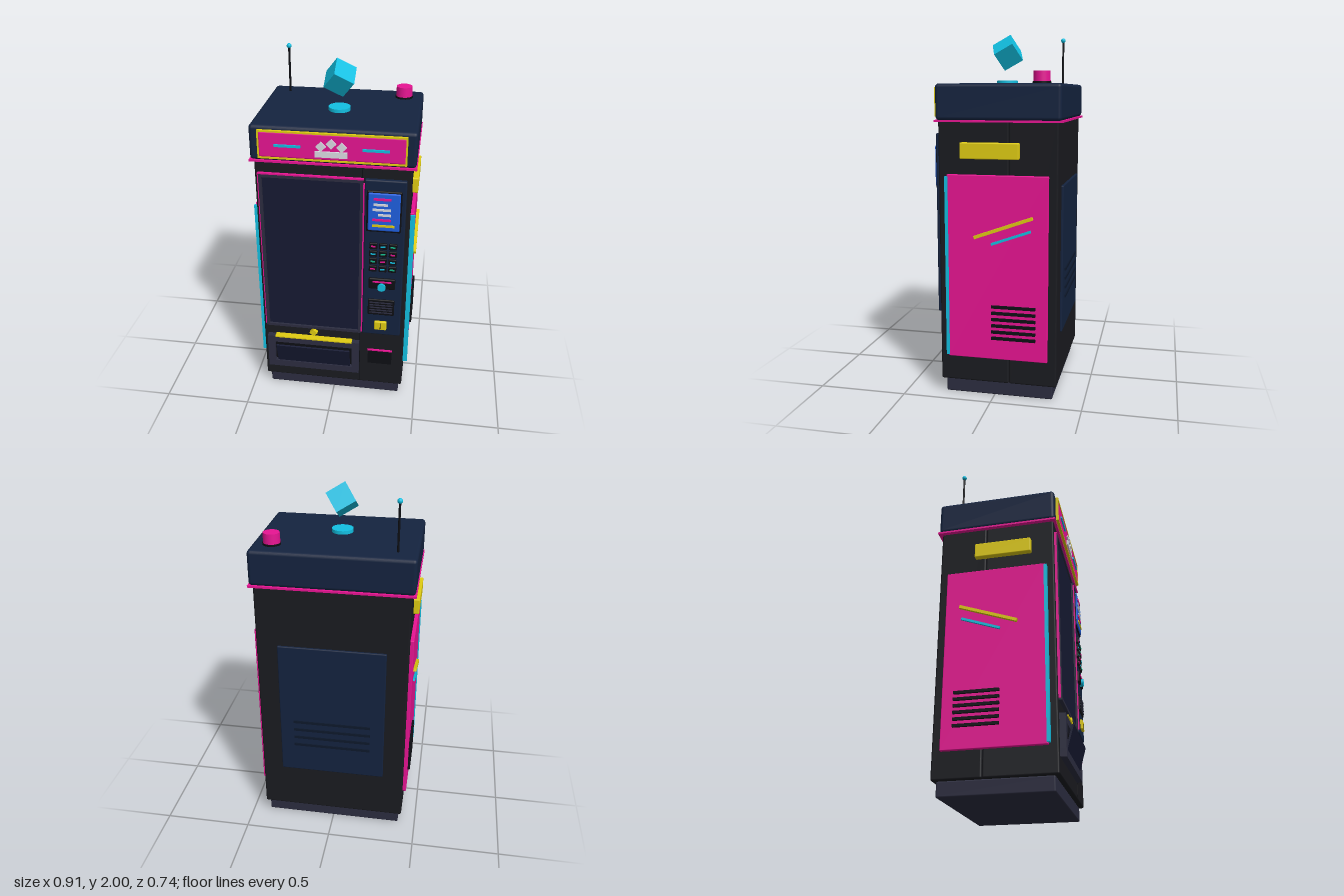
import * as THREE from 'three';
import { RoundedBoxGeometry } from 'three/addons/geometries/RoundedBoxGeometry.js';

const mat = (color) => new THREE.MeshStandardMaterial({ color });
const M = {
  black: mat(0x1a1b20), dark: mat(0x0d0e13), grey: mat(0x2c2d40), navy: mat(0x14233f), deep: mat(0x0d182b),
  glass: mat(0x161a33), pink: mat(0xe81493), cyan: mat(0x12c0e2), yellow: mat(0xe0cc12),
  blue: mat(0x1f5fe0), white: mat(0xdcdce4), green: mat(0x14b88a),
};

export function createModel() {
  const root = new THREE.Group();
  const add = (name, geo, m, x, y, z, parent = root) => {
    const mesh = new THREE.Mesh(geo, M[m]);
    mesh.name = name;
    mesh.position.set(x, y, z);
    parent.add(mesh);
    return mesh;
  };
  // box given by its limits, with optional rounded edges
  const box = (name, m, x0, x1, y0, y1, z0, z1, r = 0, parent = root) => {
    const w = x1 - x0, h = y1 - y0, d = z1 - z0;
    const geo = r ? new RoundedBoxGeometry(w, h, d, 2, r) : new THREE.BoxGeometry(w, h, d);
    return add(name, geo, m, (x0 + x1) / 2, (y0 + y1) / 2, (z0 + z1) / 2, parent);
  };
  // rectangular border made of four bars
  const frame = (name, m, x0, x1, y0, y1, z0, z1, t) => {
    box(name, m, x0, x1, y1 - t, y1, z0, z1);
    box(name, m, x0, x1, y0, y0 + t, z0, z1);
    box(name, m, x0, x0 + t, y0 + t, y1 - t, z0, z1);
    box(name, m, x1 - t, x1, y0 + t, y1 - t, z0, z1);
  };
  const diamond = (name, m, x, y, z, s, d) => {
    add(name, new THREE.BoxGeometry(s, s, d), m, x, y, z).rotation.z = Math.PI / 4;
  };

  // Cabinet
  box('base', 'grey', -0.398, 0.398, 0, 0.082, -0.325, 0.278, 0.008);
  box('cabinetFront', 'black', -0.418, 0.418, 0.08, 1.53, -0.085, 0.302, 0.01);
  box('cabinetBack', 'black', -0.418, 0.418, 0.08, 1.53, -0.35, -0.085, 0.01);
  box('doorSeam', 'dark', 0.158, 0.162, 0.09, 1.52, 0.29, 0.304);

  // Head with lit sign
  box('headTrim', 'pink', -0.441, 0.441, 1.52, 1.531, -0.371, 0.317);
  box('head', 'navy', -0.437, 0.437, 1.528, 1.722, -0.366, 0.313, 0.02);
  box('signPanel', 'pink', -0.383, 0.383, 1.555, 1.695, 0.3, 0.327, 0.008);
  frame('signBorder', 'yellow', -0.389, 0.389, 1.547, 1.702, 0.305, 0.329, 0.009);
  for (const s of [-1, 1]) box('signStripe', 'cyan', s * 0.23 - 0.07, s * 0.23 + 0.07, 1.617, 1.63, 0.32, 0.335);
  box('signOrnamentBar', 'white', -0.085, 0.083, 1.573, 1.605, 0.32, 0.336);
  for (const i of [-1, 0, 1]) diamond('signOrnamentDiamond', 'white', i * 0.054, i ? 1.631 : 1.648, 0.328, 0.038, 0.016);

  // Roof fittings
  const cyl = (r0, r1, h, n = 24) => new THREE.CylinderGeometry(r0, r1, h, n);
  add('antennaRod', cyl(0.006, 0.006, 0.27, 10), 'dark', -0.33, 1.85, -0.26);
  add('antennaTip', new THREE.SphereGeometry(0.014, 16, 12), 'cyan', -0.33, 1.985, -0.26);
  add('beaconBase', cyl(0.049, 0.049, 0.014), 'dark', 0.33, 1.725, -0.245);
  add('beacon', cyl(0.044, 0.046, 0.065), 'pink', 0.33, 1.754, -0.245);
  add('projectorDisc', cyl(0.06, 0.06, 0.022), 'cyan', -0.002, 1.73, 0.015);
  add('floatingCube', new THREE.BoxGeometry(0.12, 0.12, 0.12), 'cyan', 0, 1.899, 0.013).rotation.set(0.5, 0, -0.58);

  // Display window
  box('windowGlass', 'glass', -0.378, 0.152, 0.48, 1.44, 0.29, 0.311);
  frame('windowFrame', 'grey', -0.396, 0.166, 0.462, 1.45, 0.295, 0.32, 0.016);
  box('windowTrimTop', 'pink', -0.4, 0.168, 1.45, 1.458, 0.295, 0.318);
  box('windowTrimLeft', 'pink', -0.403, -0.396, 0.47, 1.455, 0.295, 0.315);
  box('windowTrimRight', 'pink', 0.167, 0.174, 0.48, 1.43, 0.295, 0.327);

  // Control panel
  box('controlPanel', 'navy', 0.174, 0.395, 0.465, 1.458, 0.29, 0.323, 0.008);
  box('screenBezel', 'dark', 0.186, 0.374, 1.155, 1.4, 0.31, 0.331, 0.008);
  box('screen', 'blue', 0.195, 0.366, 1.166, 1.39, 0.315, 0.338, 0.008);
  const lines = [['pink', 0.225, 0.318, 1.357], ['white', 0.225, 0.3, 1.325], ['white', 0.22, 0.318, 1.295],
    ['white', 0.25, 0.318, 1.265], ['pink', 0.22, 0.318, 1.235], ['yellow', 0.22, 0.34, 1.2]];
  for (const [m, x0, x1, y] of lines) box('screenLine', m, x0, x1, y - 0.006, y + 0.006, 0.33, 0.344);

  // Keypad
  const marks = ['pink', 'cyan', 'green'];
  for (let r = 0; r < 4; r++) {
    for (let c = 0; c < 3; c++) {
      const x = 0.228 + c * 0.054, y = 1.067 - r * 0.048;
      box('key', 'dark', x - 0.022, x + 0.022, y - 0.019, y + 0.019, 0.31, 0.333, 0.005);
      box('keyMark', marks[(r + c) % 3], x - 0.013, x + 0.013, y - 0.004, y + 0.004, 0.325, 0.336);
    }
  }

  // Card slot, speaker and coin return
  box('cardReader', 'dark', 0.207, 0.356, 0.79, 0.86, 0.31, 0.335, 0.008);
  box('cardSlot', 'pink', 0.23, 0.335, 0.836, 0.845, 0.325, 0.339);
  add('coinButton', cyl(0.023, 0.023, 0.022), 'cyan', 0.281, 0.808, 0.337).rotation.x = Math.PI / 2;
  box('speaker', 'dark', 0.205, 0.356, 0.61, 0.716, 0.31, 0.331, 0.006);
  for (let i = 0; i < 5; i++) box('speakerSlat', 'grey', 0.215, 0.346, 0.626 + i * 0.017, 0.632 + i * 0.017, 0.325, 0.335);
  box('returnButton', 'yellow', 0.245, 0.316, 0.507, 0.565, 0.31, 0.337, 0.006);
  box('returnButtonSeam', 'dark', 0.279, 0.282, 0.515, 0.557, 0.325, 0.339);
  box('coinTray', 'dark', 0.21, 0.352, 0.235, 0.332, 0.295, 0.308);
  box('coinTrayTrim', 'pink', 0.208, 0.354, 0.331, 0.339, 0.295, 0.312);

  // Delivery bay with tilted flap
  frame('bayFrame', 'grey', -0.393, 0.158, 0.17, 0.394, 0.29, 0.335, 0.042);
  box('bayBack', 'dark', -0.36, 0.125, 0.2, 0.36, 0.29, 0.312);
  box('bayTrim', 'yellow', -0.345, 0.115, 0.392, 0.399, 0.3, 0.341);
  const flap = add('bayFlap', new THREE.BoxGeometry(0.44, 0.145, 0.01), 'glass', -0.115, 0.28, 0.342);
  flap.rotation.x = 0.27;
  diamond('bayDiamond', 'yellow', -0.115, 0.435, 0.312, 0.033, 0.03);

  // Side panels, mirrored
  for (const s of [1, -1]) {
    const side = new THREE.Group();
    side.name = s > 0 ? 'leftSide' : 'rightSide';
    root.add(side);
    const part = (name, m, x1, y0, y1, z0, z1, r = 0) => {
      const a = s * 0.405, b = s * x1;
      return box(name, m, Math.min(a, b), Math.max(a, b), y0, y1, z0, z1, r, side);
    };
    part('sidePanel', 'pink', 0.438, 0.225, 1.242, -0.302, 0.252, 0.004);
    part('sideEdgeStrip', 'cyan', 0.444, 0.235, 1.232, 0.246, 0.263);
    part('sideLamp', 'yellow', 0.449, 1.327, 1.414, -0.145, 0.176, 0.006);
    for (let i = 0; i < 6; i++) part('sideVent', 'dark', 0.451, 0.34 + i * 0.0355, 0.355 + i * 0.0355, -0.237, 0.006);
    part('longStripe', 'yellow', 0.456, 0.955, 0.972, -0.23, 0.109).rotation.x = 0.345;
    part('shortStripe', 'cyan', 0.45, 0.904, 0.917, -0.216, 0.012).rotation.x = 0.345;
  }

  // Back service panel
  box('backPanel', 'navy', -0.3, 0.3, 0.36, 1.18, -0.362, -0.34, 0.006);
  for (let i = 0; i < 4; i++) box('backVent', 'deep', -0.22, 0.22, 0.535 + i * 0.052, 0.55 + i * 0.052, -0.368, -0.35);

  return root;
}
